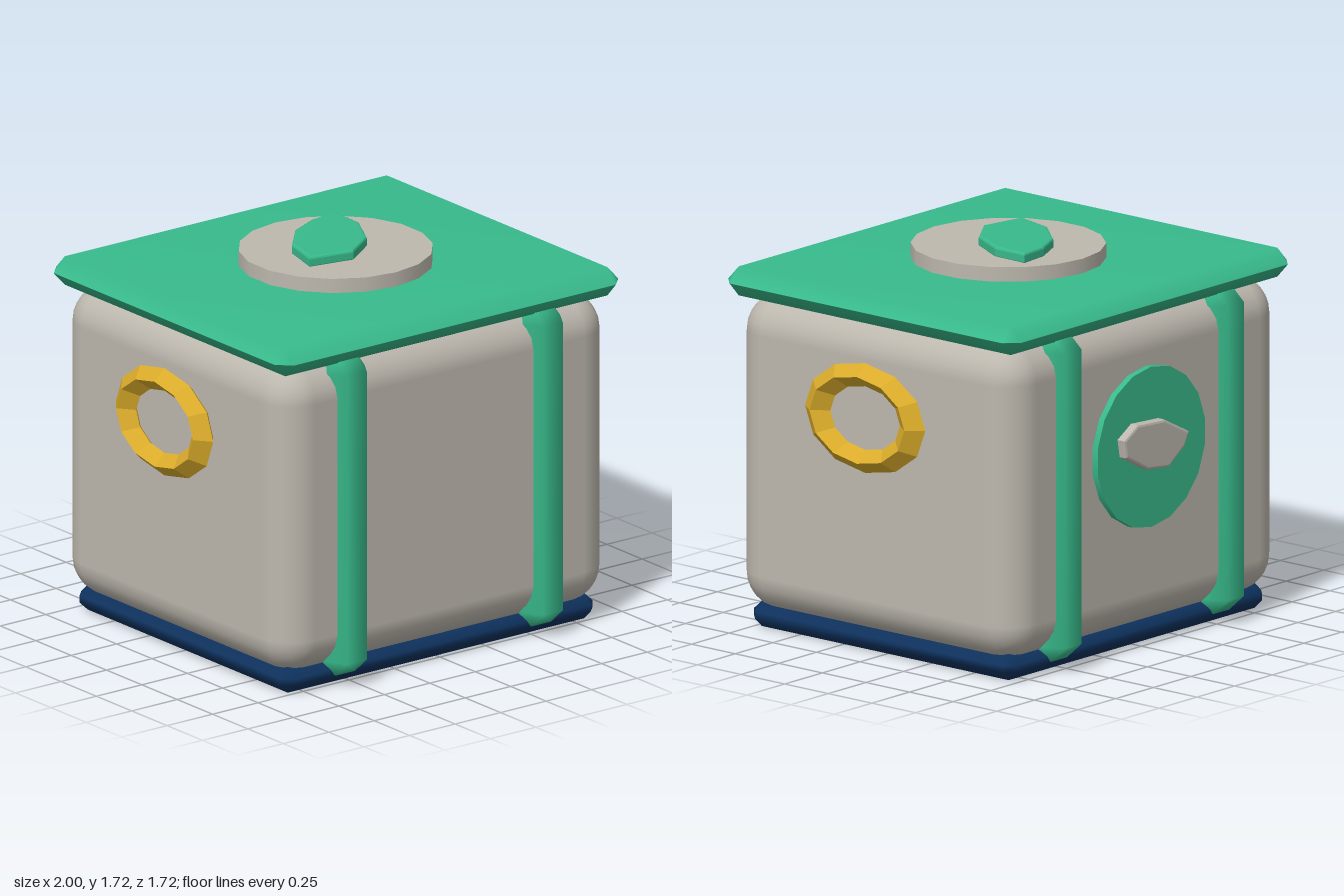
import * as THREE from 'three';
import { mergeVertices } from 'three/addons/utils/BufferGeometryUtils.js';
import { RoundedBoxGeometry } from 'three/addons/geometries/RoundedBoxGeometry.js';
import { ConvexGeometry } from 'three/addons/geometries/ConvexGeometry.js';

const ZC = 0.015; // centre of the crate in z

function mat(name, color) {
  const m = new THREE.MeshStandardMaterial({ color });
  m.name = name;
  return m;
}

// Box with chamfers of a different size along each axis, smoothly shaded
function chamferBox(w, h, d, bx, by, bz) {
  const pts = [];
  for (const sx of [-1, 1]) for (const sy of [-1, 1]) for (const sz of [-1, 1]) {
    const x = w / 2, y = h / 2, z = d / 2;
    pts.push(new THREE.Vector3(sx * x, sy * (y - by), sz * (z - bz)));
    pts.push(new THREE.Vector3(sx * (x - bx), sy * y, sz * (z - bz)));
    pts.push(new THREE.Vector3(sx * (x - bx), sy * (y - by), sz * z));
  }
  let g = new ConvexGeometry(pts);
  g.deleteAttribute('normal');
  g = mergeVertices(g, 1e-4);
  g.computeVertexNormals();
  return g;
}

// Thin leaf-shaped plate with a small bevel; the outline is its outer edge
function leafPlate(points, thickness) {
  const shape = new THREE.Shape(points.map(([x, y]) => new THREE.Vector2(x, y)));
  return new THREE.ExtrudeGeometry(shape, {
    depth: thickness - 0.01, bevelEnabled: true, bevelThickness: 0.01,
    bevelSize: 0.012, bevelOffset: -0.012, bevelSegments: 2,
  });
}

export function createModel() {
  const group = new THREE.Group();
  const grey = mat('warm grey', 0xbdb8ae);
  const green = mat('green', 0x38ba8c);
  const gold = mat('gold', 0xdaab2a);
  const navy = mat('navy', 0x0e325e);

  const add = (name, geometry, material, x, y, z) => {
    const mesh = new THREE.Mesh(geometry, material);
    mesh.name = name;
    mesh.position.set(x, y, z);
    group.add(mesh);
    return mesh;
  };

  // Main box, base and lid
  add('body', new RoundedBoxGeometry(1.82, 1.42, 1.61, 3, 0.17), grey, 0, 0.79, ZC);
  add('base', chamferBox(1.72, 0.115, 1.505, 0.045, 0.042, 0.045), navy, 0, 0.0575, ZC);
  add('lid', chamferBox(1.89, 0.13, 1.68, 0.06, 0.0645, 0.06), green, 0, 1.55, ZC);

  // Straps running through the box, showing at front and back
  for (const x of [-0.54, 0.537])
    add('strap', chamferBox(0.21, 1.47, 1.685, 0.052, 0.075, 0.085), green, x, 0.78, ZC + 0.002);

  // Oval ring handles with a diamond section
  for (const s of [-1, 1]) {
    const torus = new THREE.TorusGeometry(0.272, 0.0725, 4, 12);
    torus.scale(1, 0.715, 0.76);
    torus.rotateY(Math.PI / 2);
    const ring = torus.toNonIndexed();
    ring.computeVertexNormals();
    add('sideRing', ring, gold, s * 0.945, 1.08, 0.018);
  }

  // Round plate with leaf on the lid
  const plate = new THREE.CylinderGeometry(0.425, 0.425, 0.08, 18);
  add('topPlate', plate, grey, 0, 1.64, 0.013);
  const topLeaf = leafPlate([
    [0.22, 0.27], [0.075, 0.255], [-0.065, 0.19], [-0.2, 0.04],
    [-0.25, -0.15], [-0.04, -0.19], [0.12, -0.08], [0.215, 0.095],
  ], 0.04);
  topLeaf.rotateX(-Math.PI / 2);
  add('topLeaf', topLeaf, green, 0, 1.683, 0);

  // Round plate with leaf on the back
  const backPlate = new THREE.CylinderGeometry(0.36, 0.36, 0.04, 18);
  backPlate.rotateX(Math.PI / 2);
  add('backPlate', backPlate, green, 0.015, 0.91, -0.8);
  const backLeaf = leafPlate([
    [0.24, 0.985], [0.15, 1.04], [-0.03, 1.03], [-0.195, 0.945],
    [-0.165, 0.885], [-0.06, 0.81], [0.08, 0.825], [0.225, 0.905],
  ], 0.04);
  add('backLeaf', backLeaf, grey, 0, 0, -0.85);

  return group;
}
